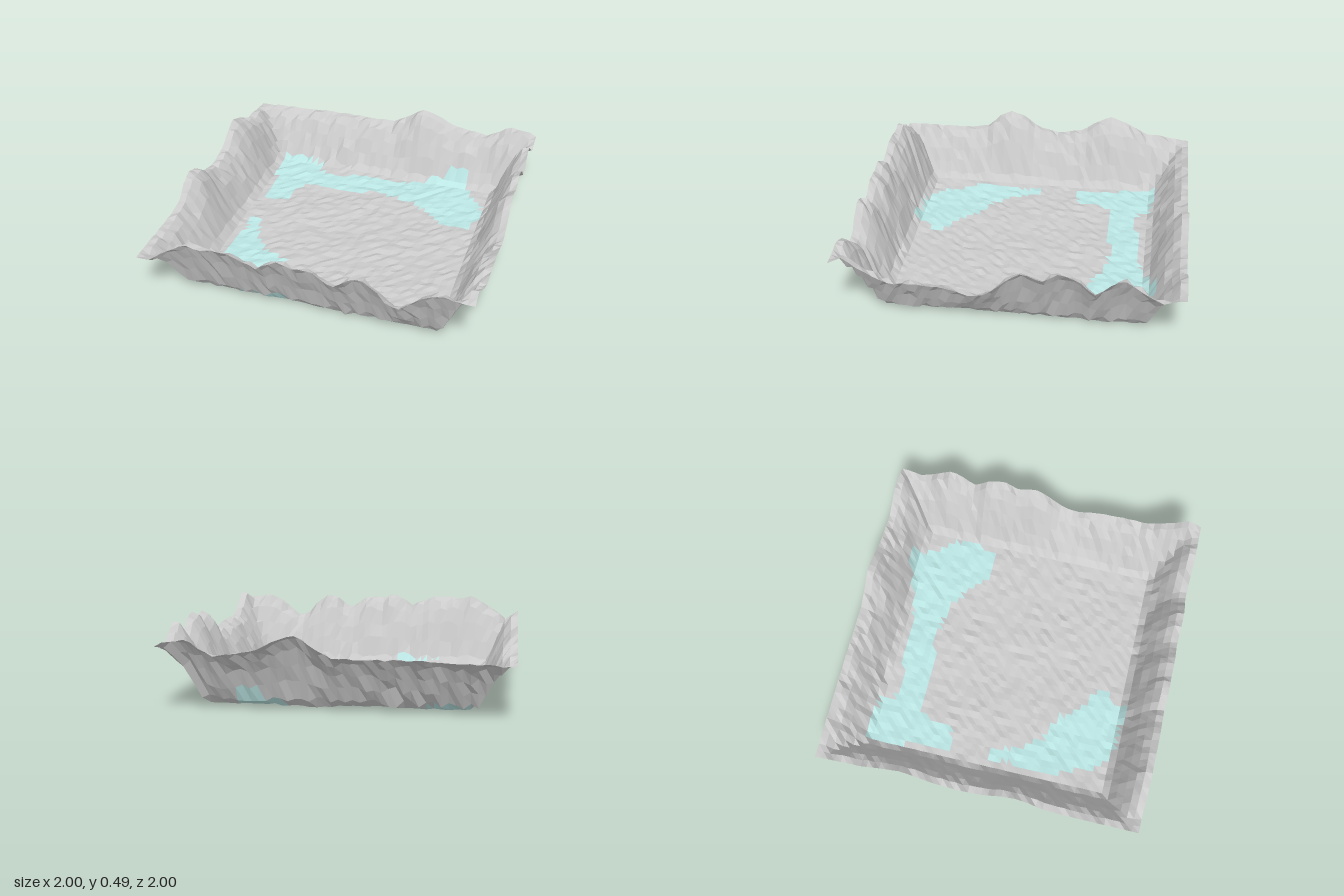
import * as THREE from 'three';

// Rim heights along each wall: [position, height] pairs
const frontRim = [[-1, .33], [-.92, .33], [-.8, .42], [-.67, .49], [-.6, .47], [-.5, .48], [-.4, .48], [-.25, .42],
  [-.12, .5], [-.05, .46], [.02, .48], [.1, .46], [.2, .39], [.3, .47], [.37, .48], [.45, .43], [.5, .36],
  [.58, .33], [.7, .43], [.8, .48], [.9, .46], [1, .46]];
const backRim = [[-1, .32], [-.5, .34], [0, .34], [.08, .38], [.2, .47], [.3, .44], [.45, .37], [.68, .34], [.82, .43], [.92, .42], [1, .39]];
const eastRim = [[-1, .39], [-.93, .38], [-.87, .35], [-.75, .43], [-.66, .49], [-.6, .46], [-.5, .38], [-.4, .47],
  [-.3, .5], [-.2, .44], [-.1, .49], [0, .43], [.1, .33], [.2, .31], [.35, .35], [.55, .36], [.65, .35], [.8, .42], [.92, .5], [1, .46]];
const westRim = [[-1, .32], [-.7, .36], [-.55, .44], [-.45, .47], [-.35, .42], [-.25, .36], [-.1, .33], [.05, .36],
  [.15, .44], [.25, .48], [.33, .44], [.42, .35], [.6, .33], [1, .33]];
// Wall profile: share of the rim height by distance from the edge
const wallProfile = [[0, 1], [.042, .96], [.083, .83], [.125, .61], [.167, .36], [.208, .11], [.25, 0]];

// Outlines of the tinted ground, as x, z
const patches = [
  [[-.75, -.8], [-.46, -.77], [-.46, -.69], [-.25, -.65], [-.2, -.71], [.1, -.71], [.25, -.75], [.45, -.82], [.58, -.82],
    [.62, -.7], [.74, -.55], [.74, -.42], [.7, -.29], [.5, -.29], [.4, -.41], [.25, -.5], [0, -.54], [-.12, -.5],
    [-.5, -.5], [-.54, -.42], [-.54, -.28], [-.7, -.25], [-.7, -.5], [-.75, -.55]],
  [[-.71, 0], [-.62, 0], [-.6, .13], [-.5, .3], [-.33, .37], [-.25, .48], [-.08, .6], [-.08, .65], [-.16, .7],
    [-.17, .79], [-.5, .76], [-.62, .65], [-.62, .58], [-.71, .4], [-.71, .2], [-.68, .15]]
];

function sample(table, t) {
  let i = 1;
  while (i < table.length - 1 && table[i][0] < t) i++;
  const [a, b] = [table[i - 1], table[i]];
  const k = THREE.MathUtils.clamp((t - a[0]) / (b[0] - a[0]), 0, 1);
  return a[1] + (b[1] - a[1]) * k;
}

function inside(poly, x, z) {
  let hit = false;
  poly.forEach(([x1, z1], i) => {
    const [x2, z2] = poly[(i + 1) % poly.length];
    if ((z1 > z) !== (z2 > z) && x < x1 + (x2 - x1) * (z - z1) / (z2 - z1)) hit = !hit;
  });
  return hit;
}

function seeded(seed) {
  return () => {
    seed = (seed * 16807) % 2147483647;
    return seed / 2147483647;
  };
}

// Height of the ground: gently rough floor, rising steeply to the wavy rim
function height(x, z, rand) {
  const ax = Math.abs(x), az = Math.abs(z), reach = Math.max(ax, az);
  const xRim = sample(x > 0 ? eastRim : westRim, z);
  const zRim = sample(z > 0 ? frontRim : backRim, x);
  const rim = Math.abs(ax - az) < 1e-4 ? (xRim + zRim) / 2 : ax > az ? xRim : zRim;
  const share = sample(wallProfile, 1 - reach);
  const floor = .009 + .01 * (rand() + rand()) + .005 * Math.sin(9 * x + 4 * z) * Math.cos(8 * z - 3 * x) + .016 * reach * reach;
  const rough = (rand() - .5) * (reach > .99 ? .01 : share > .05 ? .04 : 0);
  return floor * (1 - share) + rim * share + rough;
}

export function createModel() {
  const group = new THREE.Group();
  const rand = seeded(4711);
  const grid = new THREE.PlaneGeometry(2, 2, 48, 48).rotateX(-Math.PI / 2);
  const pos = grid.attributes.position;
  for (let i = 0; i < pos.count; i++) pos.setY(i, Math.max(0, height(pos.getX(i), pos.getZ(i), rand)));

  // Sort the triangles into plain and tinted ground
  const index = grid.index.array;
  const plain = [], tinted = [];
  for (let i = 0; i < index.length; i += 3) {
    const tri = [index[i], index[i + 1], index[i + 2]];
    const cx = tri.reduce((s, v) => s + pos.getX(v), 0) / 3;
    const cz = tri.reduce((s, v) => s + pos.getZ(v), 0) / 3;
    (patches.some(p => inside(p, cx, cz)) ? tinted : plain).push(...tri);
  }

  const addGround = (name, tris, color) => {
    const source = grid.clone();
    source.setIndex(tris);
    const geometry = source.toNonIndexed();
    geometry.computeVertexNormals();
    const material = new THREE.MeshStandardMaterial({ color, flatShading: true, side: THREE.DoubleSide });
    const mesh = new THREE.Mesh(geometry, material);
    mesh.name = name;
    group.add(mesh);
  };
  addGround('rockyGround', plain, 0xcccccc);
  addGround('icyPatches', tinted, 0xbbe6e4);
  return group;
}
